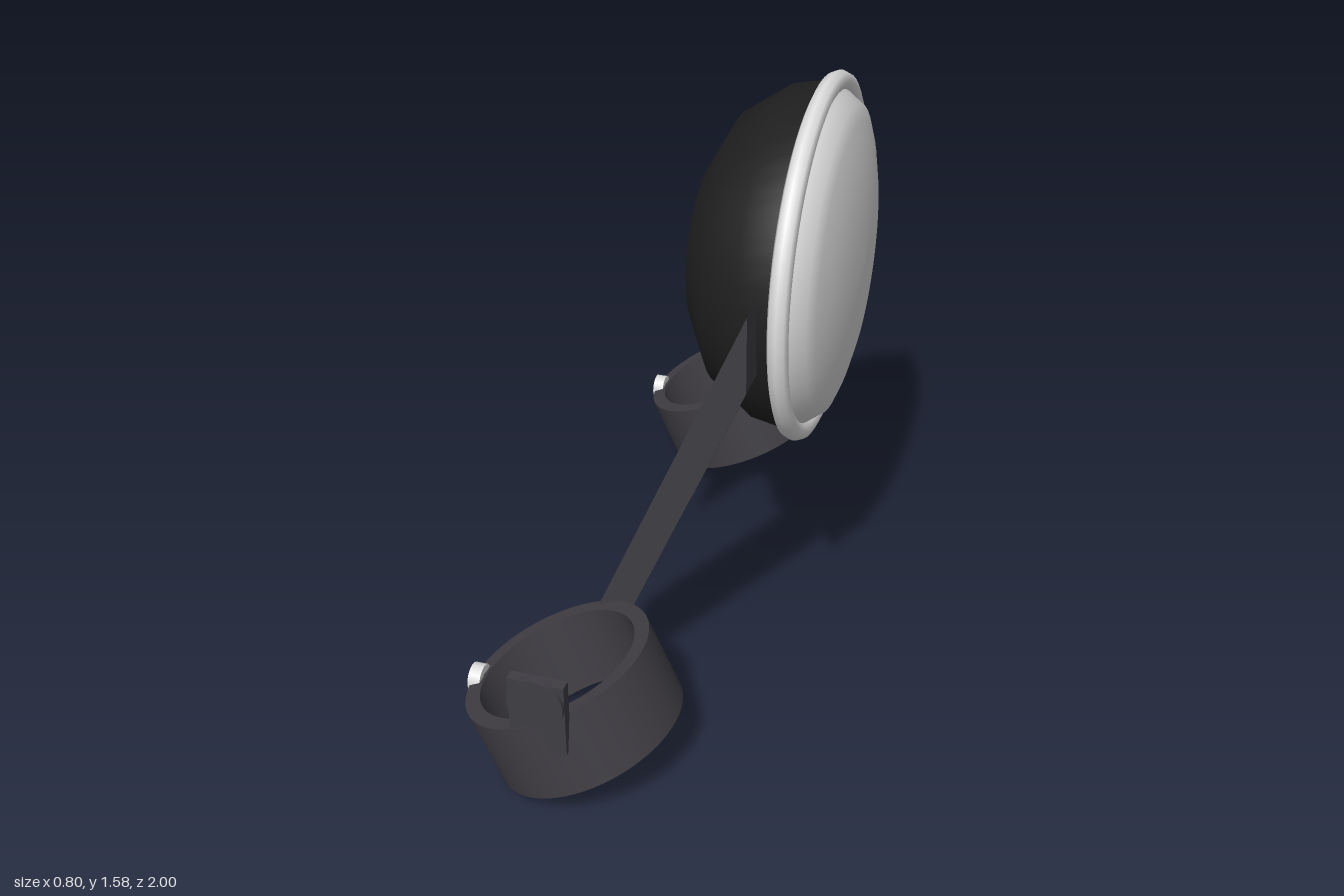
import * as THREE from 'three';
import { mergeGeometries } from 'three/addons/utils/BufferGeometryUtils.js';

const mat = (name, color) => {
  const m = new THREE.MeshStandardMaterial({ color });
  m.name = name;
  return m;
};

// Turned solid; crisp = true keeps every profile corner sharp
function turned(points, segments, crisp = false) {
  const v = points.map(([r, y]) => new THREE.Vector2(r, y));
  if (!crisp) return new THREE.LatheGeometry(v, segments);
  return mergeGeometries(v.slice(1).map((p, i) => new THREE.LatheGeometry([v[i], p], segments)));
}

export function createModel() {
  const model = new THREE.Group();
  model.name = 'headlightAssembly';
  const black = mat('shell black', 0x1f1f1f);
  const grey = mat('bracket grey', 0x3f3d43);
  const silver = mat('rim silver', 0xdedede);
  const glass = mat('lens pale grey', 0xd6d6d6);

  const add = (parent, name, geometry, material, x = 0, y = 0, z = 0) => {
    const mesh = new THREE.Mesh(geometry, material);
    mesh.name = name;
    mesh.position.set(x, y, z);
    parent.add(mesh);
    return mesh;
  };

  // Lamp: turned about its own y axis, then laid to point along +x
  const lamp = new THREE.Group();
  lamp.name = 'lamp';
  lamp.position.y = 1.115;
  lamp.rotation.z = -Math.PI / 2;
  model.add(lamp);
  add(lamp, 'shell', turned([[0.222, 0], [0.35, 0.07], [0.425, 0.18], [0.445, 0.285]], 48), black);
  add(lamp, 'shellBack', turned([[0, 0], [0.222, 0]], 48), black);
  add(lamp, 'rim', new THREE.TorusGeometry(0.441, 0.026, 8, 64).rotateX(Math.PI / 2), silver, 0, 0.288, 0);
  add(lamp, 'lens', turned([[0.43, 0.29], [0.412, 0.312], [0.39, 0.343], [0.35, 0.358], [0.28, 0.376],
    [0.2, 0.389], [0.1, 0.398], [0, 0.4]], 48), glass);

  // Arm side outline: slanted bar with upright ends
  const armShape = new THREE.Shape([[-0.16, 0.08], [0.235, 1.0], [0.235, 1.2], [-0.16, 0.28]]
    .map(([x, y]) => new THREE.Vector2(x, y)));
  const armGeo = new THREE.ExtrudeGeometry(armShape, { depth: 0.195, bevelEnabled: false }).translate(0, 0, -0.0975);

  const clampGeo = turned([[0.207, -0.106], [0.246, -0.106], [0.246, 0.106], [0.207, 0.106], [0.207, -0.106]], 64, true);
  const knobGeo = new THREE.CylinderGeometry(0.07, 0.07, 0.024, 32).rotateX(Math.PI / 2);
  const tabGeo = new THREE.BoxGeometry(0.14, 0.2, 0.028);
  const nutGeo = turned([[0.015, -0.016], [0.036, -0.016], [0.036, 0.016], [0.015, 0.016], [0.015, -0.016]], 16, true)
    .rotateZ(Math.PI / 2);

  // Mirrored bracket, clamp and fixings
  for (const s of [1, -1]) {
    const side = new THREE.Group();
    side.name = s > 0 ? 'frontMount' : 'backMount';
    model.add(side);
    add(side, 'arm', armGeo, grey, 0, 0, s * 0.4175);
    add(side, 'clampRing', clampGeo, grey, -0.1325, 0.2, s * 0.745).rotation.z = 0.41;
    add(side, 'tab', tabGeo, grey, -0.13, 0.34, s * 0.973);
    add(side, 'knob', knobGeo, grey, -0.13, 0.382, s * 0.986);
    add(side, 'nut', nutGeo, silver, -0.388, 0.2, s * 0.745);
  }
  return model;
}
